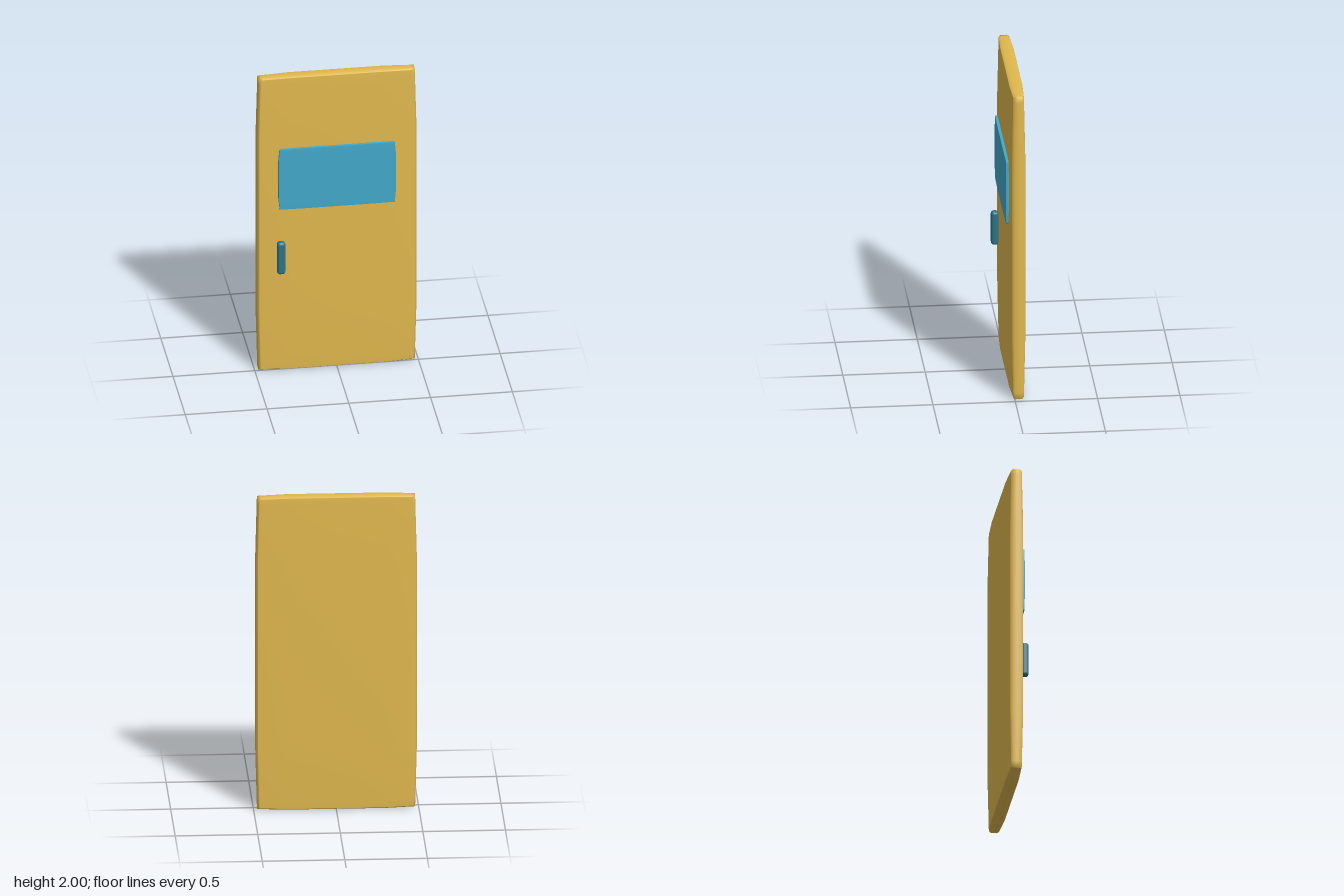
import * as THREE from 'three';
import { mergeVertices } from 'three/addons/utils/BufferGeometryUtils.js';
import { RoundedBoxGeometry } from 'three/addons/geometries/RoundedBoxGeometry.js';

// Softly pillowed slab: flat middle, thinner towards its edges, smooth normals.
function slab(width, height, depth, thin, soft) {
  let geo = new THREE.BoxGeometry(2, 2, 2, 6, 6, 6);
  geo.deleteAttribute('normal');
  geo.deleteAttribute('uv');
  geo = mergeVertices(geo);
  const stops = [0, 0.62, 0.96, 1];
  const p = geo.attributes.position;
  const place = (t) => Math.sign(t) * stops[Math.round(Math.abs(t) * 3)];
  const fall = (t) => Math.max(0, (Math.abs(t) - 0.62) / 0.38);
  for (let i = 0; i < p.count; i++) {
    const u = place(p.getX(i)), v = place(p.getY(i)), w = place(p.getZ(i));
    const a = fall(u), b = fall(v), c = fall(w);
    p.setXYZ(i,
      u * (width / 2) * (1 - 0.02 * b) * (1 - soft * c * c),
      v * (height / 2) * (1 - 0.006 * a) * (1 - soft * 0.3 * c * c),
      w * (depth / 2) * (1 - thin * a) * (1 - thin * b));
  }
  geo.computeVertexNormals();
  return geo;
}

export function createModel() {
  const group = new THREE.Group();
  const material = (name, color) => {
    const m = new THREE.MeshStandardMaterial({ color });
    m.name = name;
    return m;
  };
  const yellow = material('yellow paint', 0xe0b84e);
  const blue = material('blue glass', 0x42a9ca);
  const teal = material('dark teal handle', 0x2e7386);

  const add = (name, geo, mat, x, y, z) => {
    const mesh = new THREE.Mesh(geo, mat);
    mesh.name = name;
    mesh.position.set(x, y, z);
    group.add(mesh);
  };

  // Door leaf
  add('doorPanel', slab(0.976, 2, 0.098, 0.18, 0.03), yellow, 0, 1, -0.023);
  // Window plate on the front
  add('window', slab(0.718, 0.41, 0.021, 0.15, 0.004), blue, -0.002, 1.315, 0.0345);
  // Upright pull handle
  add('handle', new RoundedBoxGeometry(0.05, 0.218, 0.046, 3, 0.018), teal, -0.346, 0.785, 0.045);

  return group;
}
